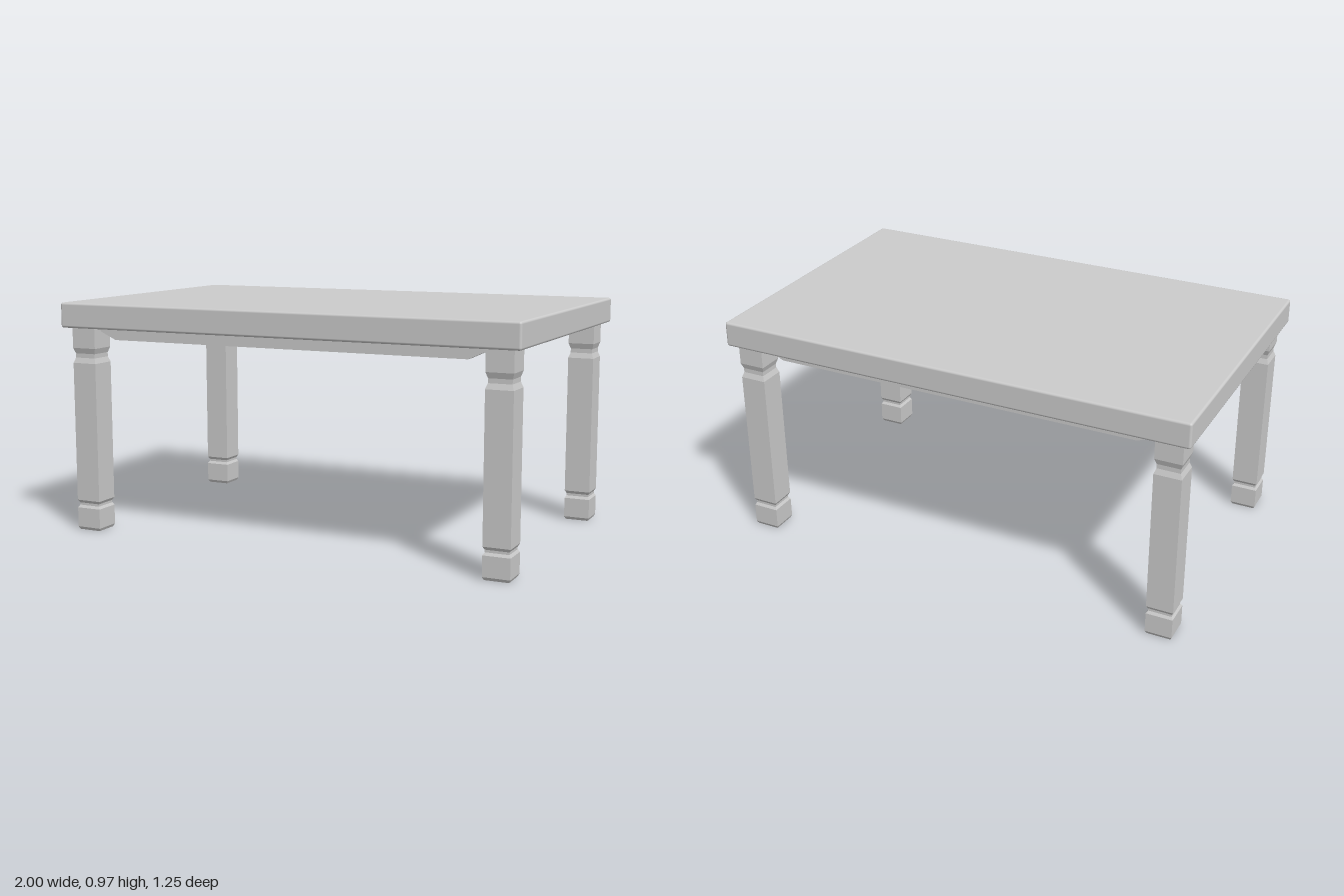
import * as THREE from 'three';
import { RoundedBoxGeometry } from 'three/addons/geometries/RoundedBoxGeometry.js';

export function createModel() {
  const table = new THREE.Group();
  table.name = 'table';
  const smooth = new THREE.MeshStandardMaterial({ color: 0xcccccc });
  const flat = new THREE.MeshStandardMaterial({ color: 0xcccccc, flatShading: true });

  const add = (name, geometry, material, x, y, z) => {
    const mesh = new THREE.Mesh(geometry, material);
    mesh.name = name;
    mesh.position.set(x, y, z);
    table.add(mesh);
  };

  // Thick top with softened edges
  add('tableTop', new RoundedBoxGeometry(2, 0.105, 1.245, 2, 0.01), smooth, 0, 0.9165, 0);

  // Square leg: [half width, height], with two shallow grooves and a chamfered foot
  const half = 0.055;
  const profile = [
    [0, 0], [half - 0.006, 0], [half, 0.012],
    [half, 0.095], [half - 0.007, 0.106], [half - 0.007, 0.116], [half, 0.128],
    [half, 0.715], [half - 0.008, 0.737], [half - 0.008, 0.755], [half, 0.778],
    [half, 0.868], [0, 0.868],
  ].map(([w, y]) => new THREE.Vector2(w * Math.SQRT2, y));
  const legGeometry = new THREE.LatheGeometry(profile, 4, Math.PI / 4);

  // Rail under each long side, its lower corners cut away
  const railShape = new THREE.Shape([
    [-0.855, 0.868], [-0.845, 0.848], [-0.775, 0.816],
    [0.775, 0.816], [0.845, 0.848], [0.855, 0.868],
  ].map(([x, y]) => new THREE.Vector2(x, y)));
  const railGeometry = new THREE.ExtrudeGeometry(railShape, { depth: 0.04, bevelEnabled: false });
  railGeometry.translate(0, 0, -0.02);

  for (const [end, z] of [['front', 0.535], ['back', -0.535]]) {
    add(end + 'Rail', railGeometry, flat, 0, 0, z);
    for (const [side, x] of [['Left', 0.91], ['Right', -0.91]]) {
      add(end + side + 'Leg', legGeometry, flat, x, 0, z);
    }
  }
  return table;
}
